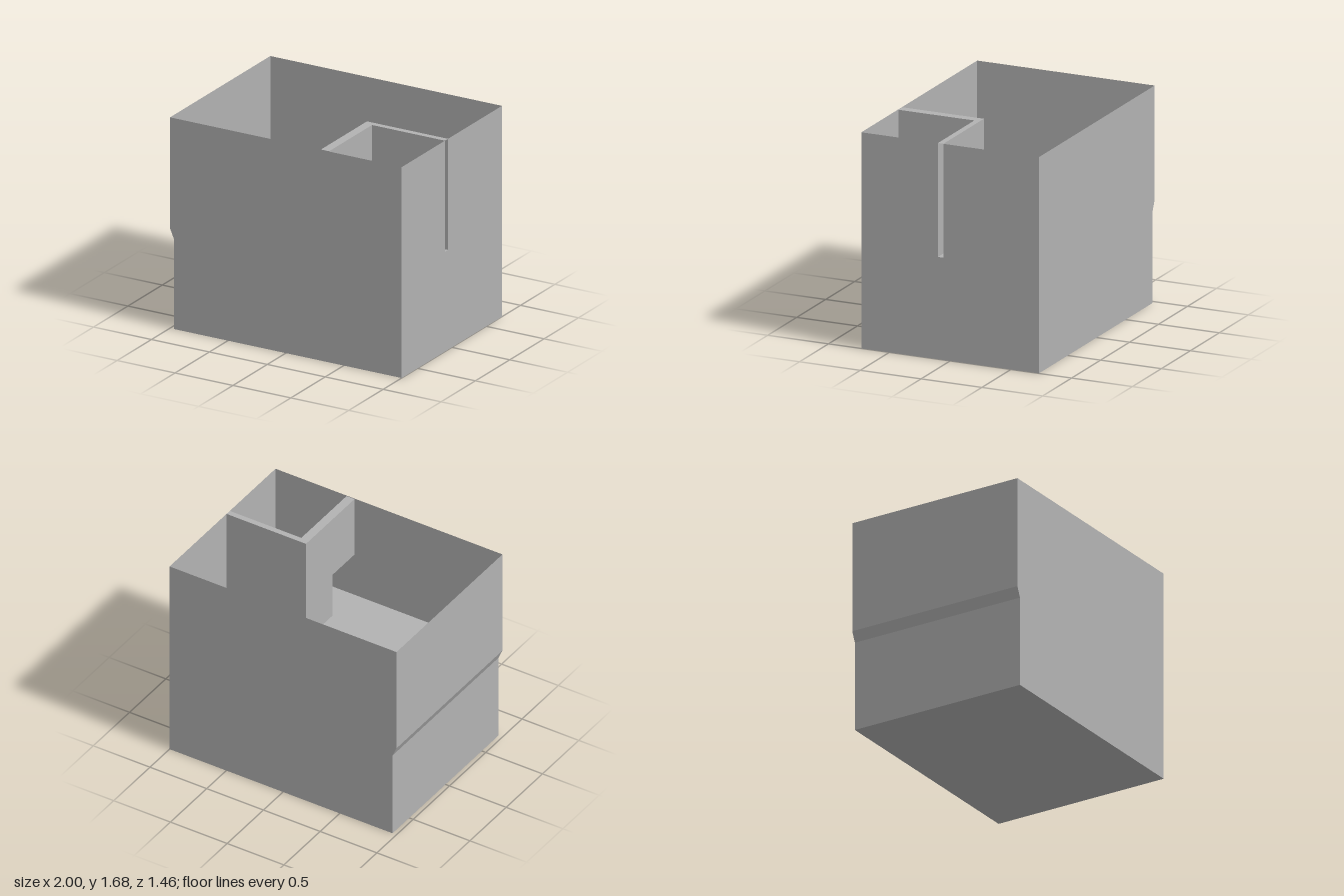
import * as THREE from 'three';

// Main levels and limits
const W = 1, D = 0.73, TOP = 1.68, FLOOR = 0.795, SLAB = 0.715, INSET = -0.965;
// Partition: outer and inner corner lines of the L plan, and its doorway
const PX0 = 0.3, PX1 = 0.37, PZ0 = 0.055, PZ1 = 0.1, PEND = 0.725;
const DOOR_Z = 0.42, DOOR_TOP = 1.17;

const rect = (u0, v0, u1, v1) => [[u0, v0], [u1, v0], [u1, v1], [u0, v1]];

export function createModel() {
  const concrete = new THREE.MeshStandardMaterial({ color: 0xb2b2b2, side: THREE.DoubleSide });
  concrete.name = 'concrete grey';
  const model = new THREE.Group();
  model.name = 'partitionedTank';

  // Thin sheet across one axis; offset may depend on the outline's v coordinate
  function sheet(parent, name, axis, offset, outline, hole) {
    const toPts = (list) => list.map(([u, v]) => new THREE.Vector2(u, v));
    const shape = new THREE.Shape(toPts(outline));
    if (hole) shape.holes.push(new THREE.Path(toPts(hole)));
    const geo = new THREE.ShapeGeometry(shape);
    const pos = geo.attributes.position;
    for (let i = 0; i < pos.count; i++) {
      const u = pos.getX(i), v = pos.getY(i);
      const o = typeof offset === 'function' ? offset(v) : offset;
      if (axis === 'x') pos.setXYZ(i, o, v, u);
      else if (axis === 'y') pos.setXYZ(i, u, o, v);
      else pos.setXYZ(i, u, v, o);
    }
    geo.computeVertexNormals();
    const mesh = new THREE.Mesh(geo, concrete);
    mesh.name = name;
    parent.add(mesh);
  }

  // Outer shell: stepped front and back walls
  const profile = [[INSET, 0], [W, 0], [W, TOP], [-W, TOP], [-W, FLOOR], [INSET, SLAB]];
  sheet(model, 'frontWall', 'z', D, profile);
  sheet(model, 'backWall', 'z', -D, profile);

  // Side wall with a slot where the hollow partition meets it
  sheet(model, 'slottedSideWall', 'x', W, [
    [-D, 0], [D, 0], [D, TOP], [PZ1, TOP], [PZ1, FLOOR], [PZ0, FLOOR], [PZ0, TOP], [-D, TOP],
  ]);

  // Opposite side wall, set back below a sloping ledge
  sheet(model, 'upperSideWall', 'x', -W, rect(-D, FLOOR, D, TOP));
  sheet(model, 'slopingLedge', 'x',
    (y) => THREE.MathUtils.mapLinear(y, SLAB, FLOOR, INSET, -W), rect(-D, SLAB, D, FLOOR));
  sheet(model, 'lowerSideWall', 'x', INSET, rect(-D, 0, D, SLAB));

  // Base and upper floor with a square hatch
  const hatch = [-0.94, 0.49, -0.76, 0.65];
  sheet(model, 'base', 'y', 0, rect(INSET, -D, W, D));
  sheet(model, 'floor', 'y', FLOOR, rect(-W, -D, W, D), rect(...hatch));
  const [hx0, hz0, hx1, hz1] = hatch;
  for (const x of [hx0, hx1]) sheet(model, 'hatchSide', 'x', x, rect(hz0, SLAB, hz1, FLOOR));
  for (const z of [hz0, hz1]) sheet(model, 'hatchEnd', 'z', z, rect(hx0, SLAB, hx1, FLOOR));

  // Hollow L-shaped partition with a doorway beside the front wall
  const partition = new THREE.Group();
  partition.name = 'partition';
  model.add(partition);
  sheet(partition, 'partitionCap', 'y', TOP, [
    [PX0, PZ0], [W, PZ0], [W, PZ1], [PX1, PZ1], [PX1, PEND], [PX0, PEND],
  ]);
  sheet(partition, 'partitionBackFace', 'z', PZ0, rect(PX0, FLOOR, W, TOP));
  sheet(partition, 'partitionInnerFace', 'z', PZ1, rect(PX1, FLOOR, W, TOP));
  for (const [x, z] of [[PX0, PZ0], [PX1, PZ1]]) {
    sheet(partition, 'doorwayFace', 'x', x, [
      [z, FLOOR], [DOOR_Z, FLOOR], [DOOR_Z, DOOR_TOP], [PEND, DOOR_TOP], [PEND, TOP], [z, TOP],
    ]);
  }
  sheet(partition, 'doorJamb', 'z', DOOR_Z, rect(PX0, FLOOR, PX1, DOOR_TOP));
  sheet(partition, 'doorLintel', 'y', DOOR_TOP, rect(PX0, DOOR_Z, PX1, PEND));
  sheet(partition, 'partitionEnd', 'z', PEND, rect(PX0, DOOR_TOP, PX1, TOP));

  return model;
}
